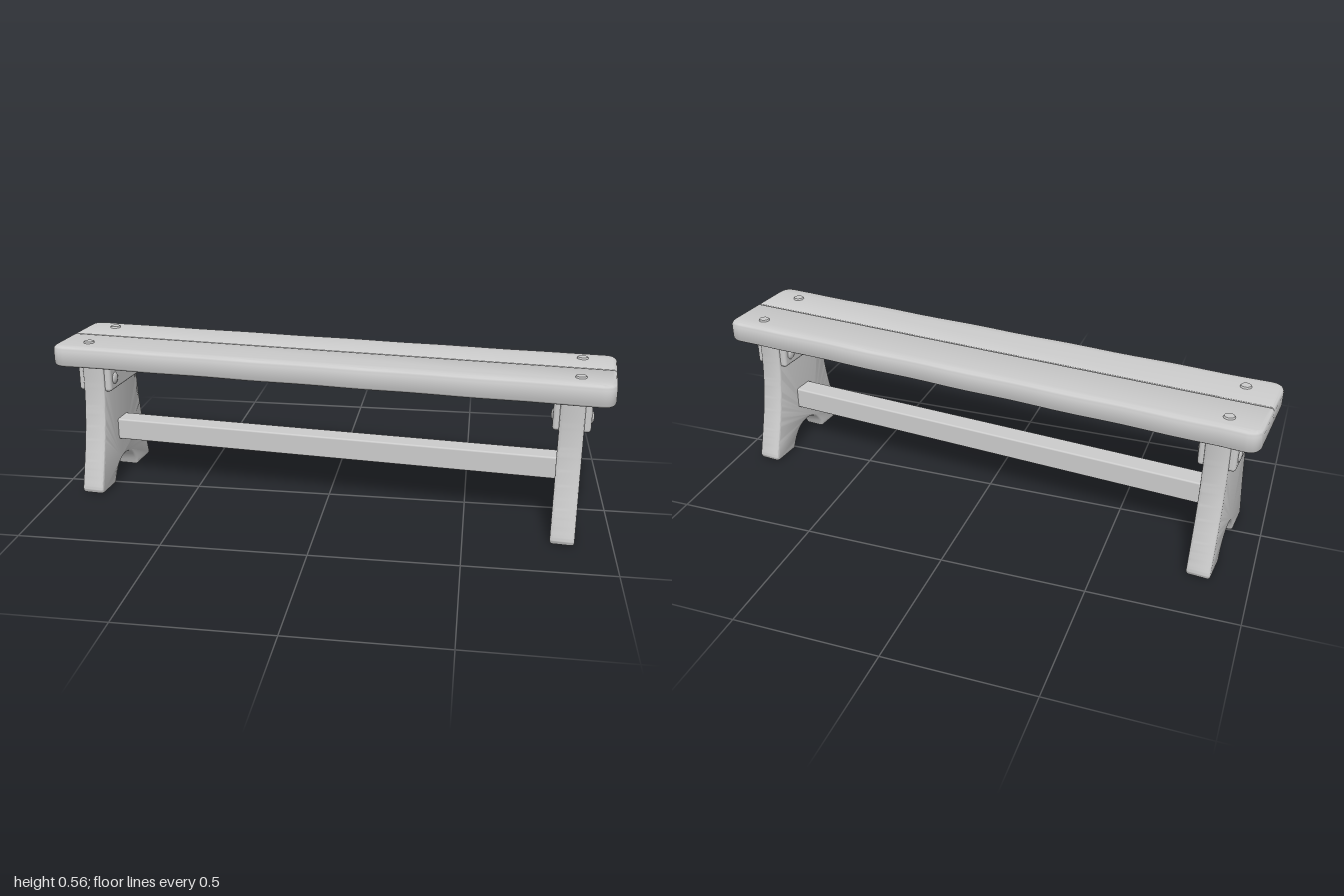
import * as THREE from 'three';
import { toCreasedNormals } from 'three/addons/utils/BufferGeometryUtils.js';
import { RoundedBoxGeometry } from 'three/addons/geometries/RoundedBoxGeometry.js';

const wood = new THREE.MeshStandardMaterial({ color: 0xcccccc });
wood.name = 'paleWood';

function add(parent, name, geometry, x = 0, y = 0, z = 0) {
  const mesh = new THREE.Mesh(geometry, wood);
  mesh.name = name;
  mesh.position.set(x, y, z);
  parent.add(mesh);
  return mesh;
}

// Extrudes a shape to a total depth, with worn, rounded edges kept inside the outline
function wornSlab(shape, depth, bevel) {
  const g = new THREE.ExtrudeGeometry(shape, {
    depth: depth - 2 * bevel, bevelEnabled: true, bevelThickness: bevel,
    bevelSize: bevel, bevelOffset: -bevel, bevelSegments: 4, curveSegments: 10,
  });
  g.translate(0, 0, bevel - depth / 2);
  return toCreasedNormals(g, 0.8);
}

// Half of the seat: inner edge straight, outer edge slightly wavy with round corners
function plankShape(seed) {
  const L = 0.992, W = 0.19, r = 0.05, gap = 0.0005;
  const s = new THREE.Shape();
  s.moveTo(-L, gap);
  s.lineTo(L, gap);
  s.lineTo(L, W - r);
  s.quadraticCurveTo(L, W, L - r, W);
  for (let i = 1; i < 24; i++) {
    const x = (L - r) * (1 - i / 12);
    s.lineTo(x, W - 0.002 + 0.002 * Math.sin(i * 1.3 + seed));
  }
  s.lineTo(-L + r, W);
  s.quadraticCurveTo(-L, W, -L, W - r);
  s.closePath();
  return s;
}

// Flared leg board with an arch cut between its feet
function legShape() {
  const side = [[0.218, 0.025], [0.197, 0.1], [0.171, 0.2], [0.153, 0.3], [0.145, 0.4], [0.146, 0.5]];
  const curve = side.map(([x, y]) => new THREE.Vector2(x, y));
  const s = new THREE.Shape();
  s.moveTo(0.1, 0.004);
  s.lineTo(0.205, 0.004);
  s.quadraticCurveTo(0.22, 0.006, 0.218, 0.025);
  s.splineThru(curve.slice(1));
  s.lineTo(-0.146, 0.5);
  s.splineThru(curve.slice(0, -1).reverse().map((p) => new THREE.Vector2(-p.x, p.y)));
  s.quadraticCurveTo(-0.22, 0.006, -0.205, 0.004);
  s.lineTo(-0.1, 0.004);
  s.bezierCurveTo(-0.08, 0.06, -0.045, 0.088, 0, 0.088);
  s.bezierCurveTo(0.045, 0.088, 0.08, 0.06, 0.1, 0.004);
  return s;
}

export function createModel() {
  const model = new THREE.Group();
  model.name = 'bench';
  const bench = new THREE.Group();
  bench.name = 'benchBody';
  bench.rotation.y = -0.097;
  model.add(bench);

  // Seat: two planks meeting at a narrow seam
  for (const side of [1, -1]) {
    const g = wornSlab(plankShape(side), 0.077, 0.016);
    // Keep the seam tight by pulling the bevelled inner edge back to the middle
    const p = g.attributes.position;
    for (let i = 0; i < p.count; i++) {
      if (p.getY(i) < 0.02) p.setY(i, 0.0005 + (p.getY(i) - 0.0005) * 0.25);
    }
    const plank = add(bench, side > 0 ? 'frontPlank' : 'backPlank', toCreasedNormals(g, 0.8), 0, 0.5215, 0);
    plank.rotation.x = side * Math.PI / 2;
  }

  const legGeometry = wornSlab(legShape(), 0.082, 0.01);
  const cleatGeometry = new RoundedBoxGeometry(0.05, 0.112, 0.27, 3, 0.012);
  const knobGeometry = new THREE.SphereGeometry(0.022, 14, 8);
  const pegGeometry = new THREE.CylinderGeometry(0.017, 0.022, 0.012, 14);

  for (const end of [1, -1]) {
    const label = end > 0 ? 'left' : 'right';
    const leg = new THREE.Group();
    leg.name = label + 'Leg';
    leg.position.set(end * 0.857, 0, end * 0.01);
    bench.add(leg);
    add(leg, 'legBoard', legGeometry).rotation.y = Math.PI / 2;

    // Cleats on both faces, each fixed with two rounded knobs
    for (const face of [1, -1]) {
      add(leg, 'cleat', cleatGeometry, face * 0.038, 0.436, 0);
      for (const z of [-0.095, 0.095]) {
        add(leg, 'cleatKnob', knobGeometry, face * 0.062, 0.424, z).scale.x = 0.4;
      }
    }
    // Peg heads on the seat
    for (const z of [-0.118, 0.108]) {
      add(bench, 'seatPeg', pegGeometry, end * 0.875, 0.56, z);
    }
  }

  // Stretcher between the legs
  add(bench, 'stretcher', new RoundedBoxGeometry(1.66, 0.08, 0.08, 2, 0.006), 0, 0.205, 0);
  return model;
}
